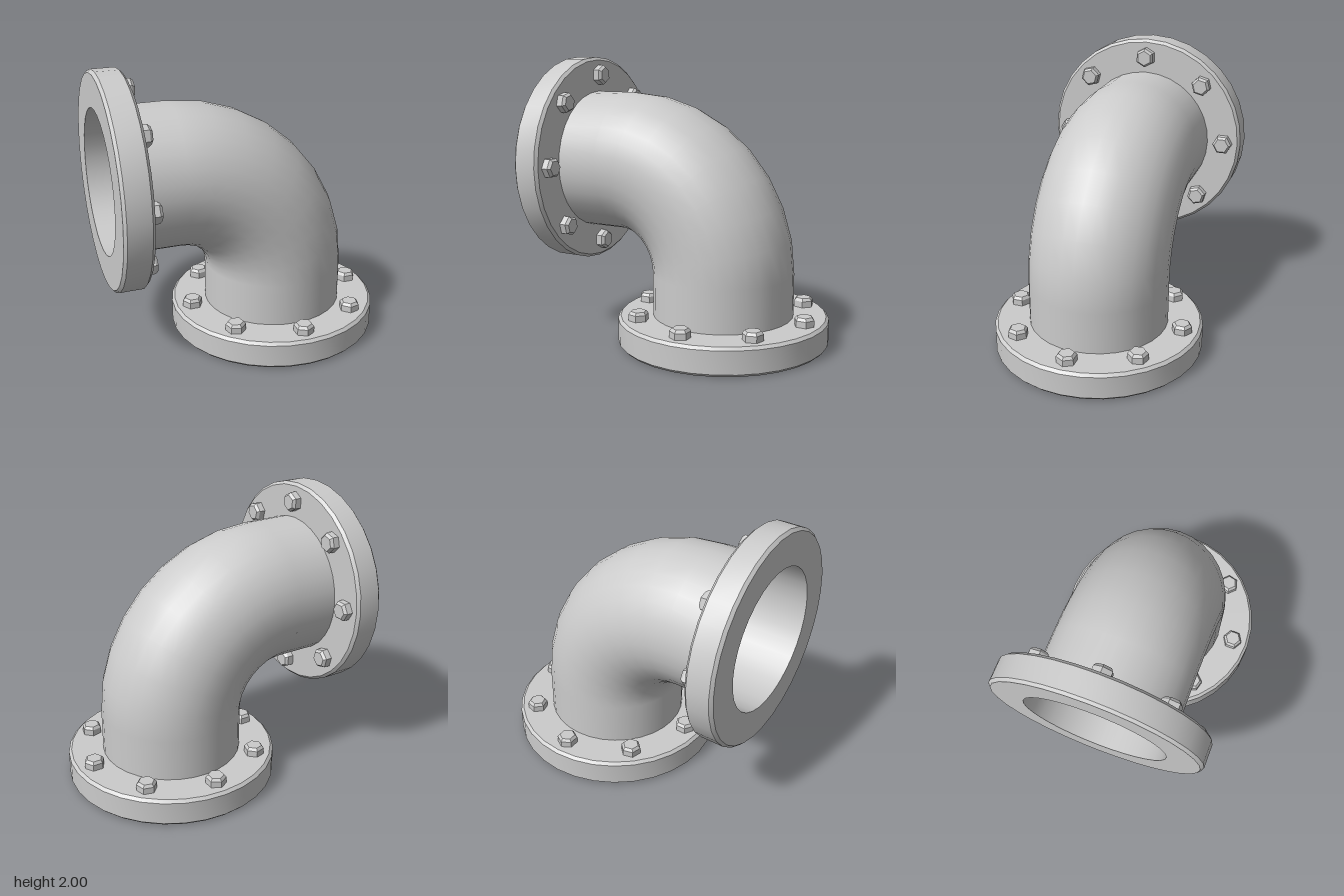
import * as THREE from 'three';
import { toCreasedNormals } from 'three/addons/utils/BufferGeometryUtils.js';

const PIPE_R = 0.5, FLANGE_R = 0.75, FLANGE_H = 0.2, BEVEL = 0.02;
const BEND_R = 0.75, STRAIGHT = 0.5, SIDES = 32, BOLTS = 8, BOLT_CIRCLE = 0.62;

const metal = new THREE.MeshStandardMaterial({ color: 0xcccccc });
const pipeMetal = new THREE.MeshStandardMaterial({ color: 0xcccccc, side: THREE.DoubleSide });
const boltMetal = new THREE.MeshStandardMaterial({ color: 0xcccccc, flatShading: true });

const lathe = (points, sides) =>
  new THREE.LatheGeometry(points.map(([r, y]) => new THREE.Vector2(r, y)), sides);

function addMesh(parent, name, geometry, material) {
  const mesh = new THREE.Mesh(geometry, material);
  mesh.name = name;
  parent.add(mesh);
  return mesh;
}

// One pipe end, standing on its open mouth: straight pipe, flange ring, bolt heads
function createPipeEnd(name) {
  const end = new THREE.Group();
  end.name = name;

  const pipe = new THREE.CylinderGeometry(PIPE_R, PIPE_R, STRAIGHT, SIDES, 1, true);
  addMesh(end, 'straightPipe', pipe.translate(0, STRAIGHT / 2, 0), pipeMetal);

  const ring = lathe([
    [PIPE_R, 0], [FLANGE_R - BEVEL, 0], [FLANGE_R, BEVEL],
    [FLANGE_R, FLANGE_H - BEVEL], [FLANGE_R - BEVEL, FLANGE_H], [PIPE_R, FLANGE_H],
  ], SIDES);
  addMesh(end, 'flange', toCreasedNormals(ring, 0.5), metal);

  // Chamfered hex heads, one corner pointing outwards
  const head = lathe([[0.072, 0], [0.072, 0.045], [0.055, 0.065], [0, 0.065]], 6);
  head.translate(0, FLANGE_H, BOLT_CIRCLE);
  for (let i = 0; i < BOLTS; i++) {
    addMesh(end, 'bolt', head, boltMetal).rotation.y = (i / BOLTS) * Math.PI * 2;
  }
  return end;
}

export function createModel() {
  const model = new THREE.Group();
  model.name = 'flangedPipeElbow';

  // Quarter-turn bend
  const bend = new THREE.TorusGeometry(BEND_R, PIPE_R, SIDES, 8, Math.PI / 2);
  addMesh(model, 'bend', bend, pipeMetal).position.set(-0.5, STRAIGHT, 0);

  const bottom = createPipeEnd('bottomEnd');
  bottom.position.x = 0.25;

  const side = createPipeEnd('sideEnd');
  side.rotation.z = -Math.PI / 2;
  side.position.set(-1, 1.25, 0);

  model.add(bottom, side);
  return model;
}
